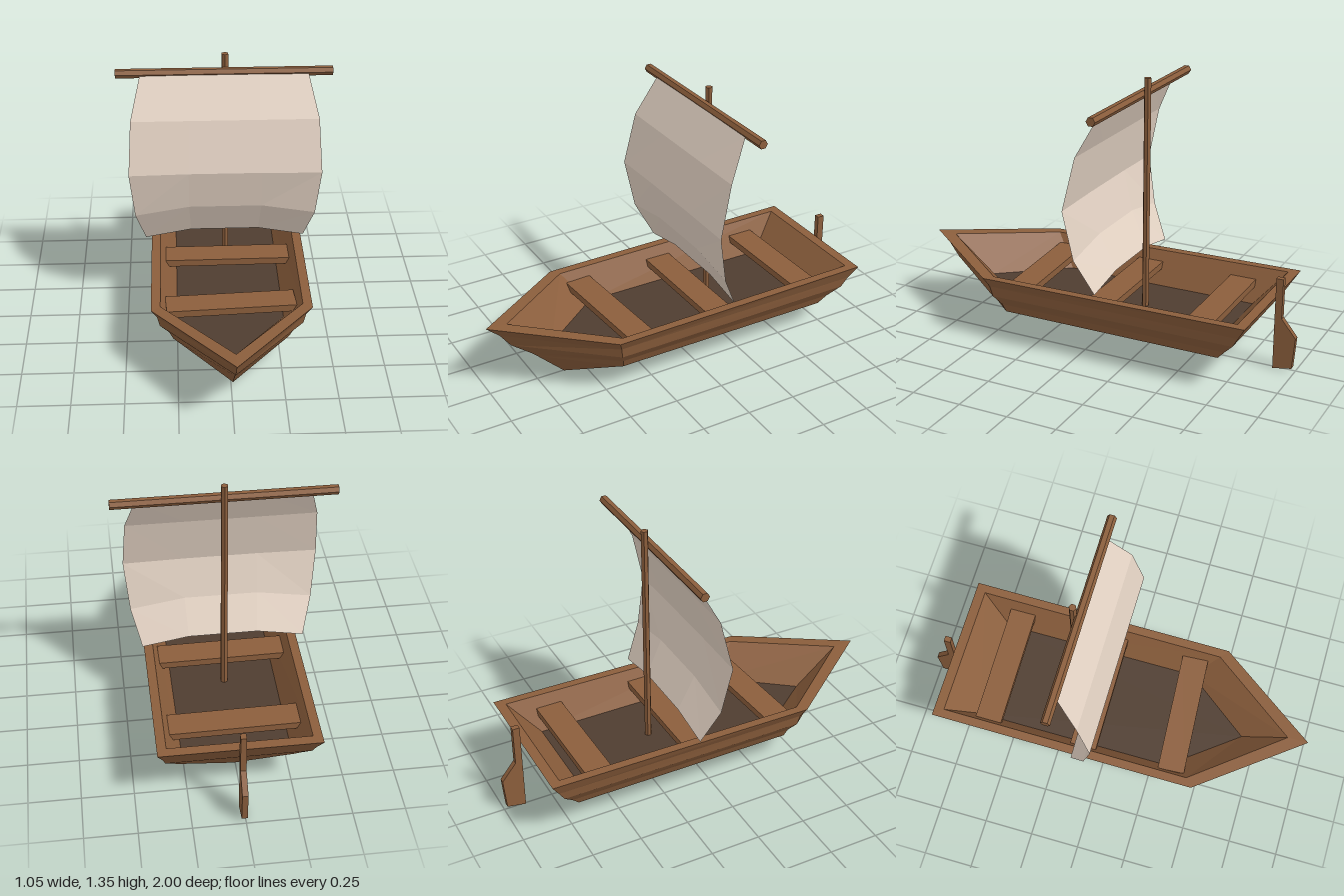
import * as THREE from 'three';

const wood = new THREE.MeshStandardMaterial({ color: 0x8b5e3c });
wood.name = 'wood';
wood.flatShading = true;
const floorWood = new THREE.MeshStandardMaterial({ color: 0x4f3d30 });
floorWood.name = 'dark floor wood';
const cloth = new THREE.MeshStandardMaterial({ color: 0xe6d5c6, side: THREE.DoubleSide, flatShading: true });
cloth.name = 'sail cloth';

const CX = 0.01; // centre line of the hull

// Five-cornered hull section: bow, left shoulder, left stern, right stern, right shoulder
function ring(half, bow, shoulder, stern) {
  return [
    [CX, bow[1], bow[0]],
    [CX + half, shoulder[1], shoulder[0]],
    [CX + half, stern[1], stern[0]],
    [CX - half, stern[1], stern[0]],
    [CX - half, shoulder[1], shoulder[0]],
  ];
}

function fromTriangles(points) {
  const g = new THREE.BufferGeometry();
  g.setAttribute('position', new THREE.Float32BufferAttribute(points.flat(), 3));
  g.computeVertexNormals();
  return g;
}

// Skin a list of rows of points with quads
function loft(rows, closed) {
  const tris = [];
  for (let r = 0; r < rows.length - 1; r++) {
    const low = rows[r], high = rows[r + 1], n = low.length;
    for (let i = 0; i < (closed ? n : n - 1); i++) {
      const j = (i + 1) % n;
      tris.push(low[i], low[j], high[j], low[i], high[j], high[i]);
    }
  }
  return fromTriangles(tris);
}

export function createModel() {
  const model = new THREE.Group();
  const add = (name, geometry, material, x = 0, y = 0, z = 0) => {
    const mesh = new THREE.Mesh(geometry, material);
    mesh.name = name;
    mesh.position.set(x, y, z);
    model.add(mesh);
    return mesh;
  };

  // Hull: keel, outer planking, rim and inner walls, each pair being [z, y]
  const floorRing = ring(0.258, [0.67, 0.19], [0.335, 0.19], [-0.68, 0.19]);
  add('hull', loft([
    ring(0, [0.61, 0.01], [0.61, 0.01], [-0.61, 0.01]),
    ring(0.28, [0.75, 0.145], [0.425, 0.14], [-0.715, 0.14]),
    ring(0.3, [0.775, 0.168], [0.435, 0.185], [-0.755, 0.185]),
    ring(0.343, [0.88, 0.25], [0.46, 0.24], [-0.81, 0.245]),
    ring(0.354, [0.935, 0.323], [0.47, 0.295], [-0.84, 0.295]),
    ring(0.382, [1.0, 0.38], [0.49, 0.345], [-0.88, 0.36]),
    ring(0.338, [0.895, 0.375], [0.455, 0.345], [-0.83, 0.36]),
    floorRing,
  ], true), wood);

  // Floor
  const floor = [];
  for (let i = 1; i < 4; i++) floor.push(floorRing[0], floorRing[i], floorRing[i + 1]);
  add('floor', fromTriangles(floor), floorWood);

  // Benches, set slightly askew
  for (const [name, z, turn] of [['frontBench', 0.35, 0.06], ['middleBench', -0.1, 0.01], ['rearBench', -0.61, 0.012]]) {
    add(name, new THREE.BoxGeometry(0.625, 0.035, 0.135), wood, CX, 0.283, z).rotation.y = turn;
  }

  // Mast and yard
  add('mast', new THREE.CylinderGeometry(0.018, 0.018, 1.16, 6), wood, 0.005, 0.77, -0.21);
  add('yard', new THREE.CylinderGeometry(0.023, 0.023, 1.05, 6), wood, 0, 1.267, -0.178).rotation.z = Math.PI / 2;

  // Sail rows: half width, inner half width, edge height, middle height, depth
  const sailRows = [
    [0.4, 0.17, 0.383, 0.425, -0.13],
    [0.448, 0.18, 0.557, 0.602, -0.045],
    [0.472, 0.18, 0.803, 0.808, 0],
    [0.457, 0.17, 1.065, 1.065, -0.06],
    [0.408, 0.17, 1.26, 1.262, -0.158],
  ].map(([w, m, edge, mid, z]) => [[-w, edge, z], [-m, mid, z], [m, mid, z], [w, edge, z]]);
  add('sail', loft(sailRows, false), cloth);

  // Rudder, drawn in the side plane and turned so that its outline runs aft
  const outline = [[0.89, 0.47], [0.89, 0.005], [0.985, 0.022], [0.998, 0.18], [0.925, 0.27], [0.925, 0.47]];
  const rudderShape = new THREE.Shape(outline.map(([z, y]) => new THREE.Vector2(z, y)));
  const rudder = new THREE.ExtrudeGeometry(rudderShape, { depth: 0.028, bevelEnabled: false });
  rudder.translate(0, 0, -0.014).rotateY(Math.PI / 2);
  add('rudder', rudder, wood, 0.006);

  return model;
}
